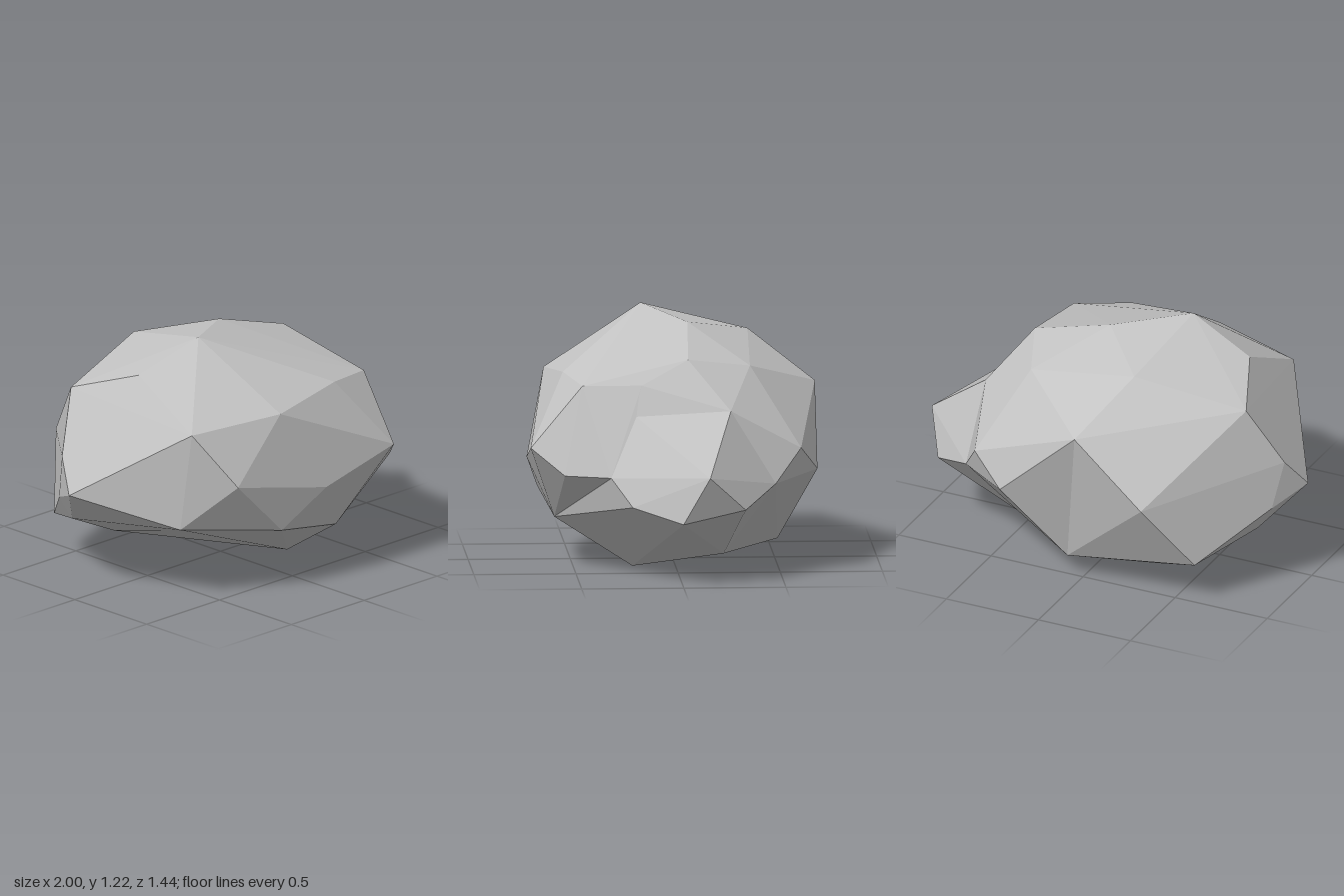
import * as THREE from 'three';
import { ConvexGeometry } from 'three/addons/geometries/ConvexGeometry.js';

// Corners shared by neighbouring chunks
const base = [0.25, 0, 0.21];
const underside = [0.37, 0.075, -0.23];
const backFoot = [0.08, 0.105, -0.51];
const frontFoot = [0.21, 0.24, 0.59];
const frontBulge = [0.48, 0.62, 0.72];
const frontBrow = [0.52, 0.93, 0.47];
const sideBrow = [0.55, 0.935, 0.18];
const shoulder = [0.65, 0.82, -0.25];
const notch = [0.61, 0.79, 0.21];
const ledge = [0.73, 0.505, 0.34];
const backSide = [0.65, 0.46, -0.47];
const backRidge = [-0.05, 0.865, -0.70];
const backCrown = [
  [0.06, 1.175, -0.07], [0.48, 1.05, -0.05], [-0.22, 1.10, -0.38], [0.35, 1.0, -0.36],
];

export function createModel() {
  const group = new THREE.Group();
  group.name = 'rock';
  const stone = new THREE.MeshStandardMaterial({ color: 0xc2c2c2, flatShading: true });
  stone.name = 'grey stone';

  // Each chunk is a faceted solid spanned by its corner points
  function chunk(name, corners) {
    const points = corners.map((c) => new THREE.Vector3(...c));
    const mesh = new THREE.Mesh(new ConvexGeometry(points), stone);
    mesh.name = name;
    group.add(mesh);
  }

  const crown = [
    ...backCrown, [-0.29, 1.22, 0.14], [-0.63, 1.09, 0.07], [-0.77, 0.98, -0.26],
    [-0.67, 0.89, 0.48], [-0.20, 0.92, 0.62], [0.24, 0.96, 0.55], frontBrow, sideBrow,
  ];
  const waist = [
    [-1, 0.53, -0.04], [-0.93, 0.685, -0.16], [-0.89, 0.45, -0.22],
    [-0.51, 0.62, 0.64], [0.02, 0.51, 0.715], frontBulge,
    shoulder, notch, backRidge, [-0.42, 0.56, -0.72],
  ];
  const foot = [
    [-0.69, 0.39, 0.42], [-0.22, 0.33, 0.65], [-0.81, 0.32, -0.21],
    [-0.62, 0.22, -0.53], [-0.355, 0.10, -0.38],
    base, underside, backFoot, frontFoot,
  ];

  // Main boulder
  chunk('boulder', [...crown, ...waist, ...foot]);

  // Back corner, creased against the boulder
  chunk('backCorner', [
    ...backCrown, backRidge, shoulder, backSide, backFoot, underside, base,
    [0.54, 0.62, -0.60], [0.36, 0.49, -0.69],
  ]);

  // Lip overhanging the front of the spur
  chunk('frontLip', [
    frontFoot, frontBulge, frontBrow, sideBrow, notch, ledge, [0.61, 0.50, 0.56],
  ]);

  // Pointed spur jutting out at the side
  chunk('sideSpur', [
    base, underside, frontFoot, shoulder, notch, ledge, backSide,
    [1, 0.54, -0.13], [0.98, 0.31, 0], [0.84, 0.375, 0.24], [0.88, 0.365, -0.31],
  ]);

  return group;
}
